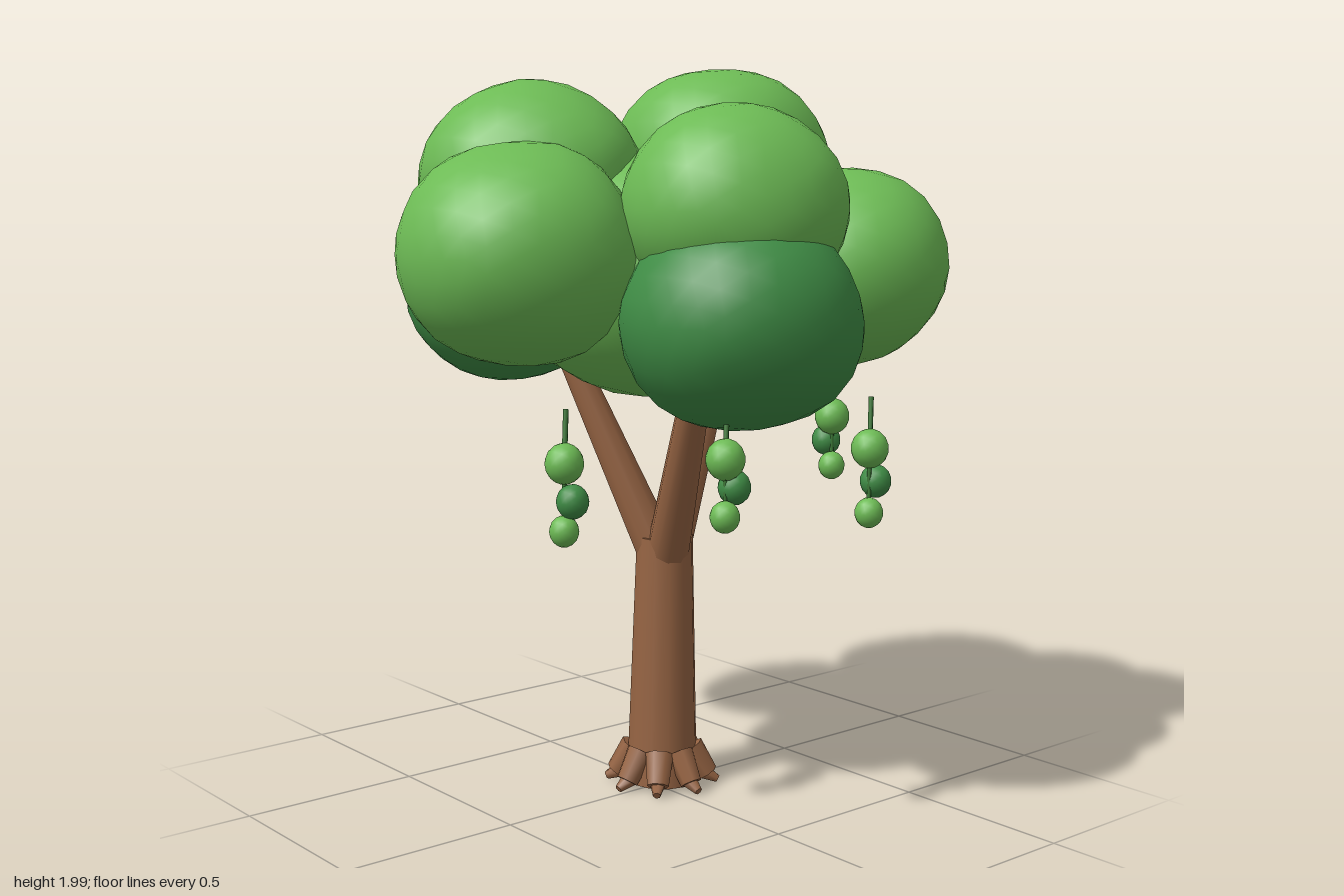
import * as THREE from 'three';
import { mergeVertices } from 'three/addons/utils/BufferGeometryUtils.js';

const mat = (color) => new THREE.MeshStandardMaterial({ color });
const V = (x, y, z) => new THREE.Vector3(x, y, z);

export function createModel() {
  const tree = new THREE.Group();
  const bark = mat(0x966443);
  const lightLeaf = mat(0x6dbb55);
  const darkLeaf = mat(0x3f8c45);
  const stemGreen = mat(0x3c7a36);

  const add = (parent, name, geometry, material) => {
    const mesh = new THREE.Mesh(geometry, material);
    mesh.name = name;
    parent.add(mesh);
    return mesh;
  };

  // Tapered cylinder from point a to point b
  const limb = (parent, name, a, b, ra, rb, sides, material) => {
    const mesh = add(parent, name, new THREE.CylinderGeometry(rb, ra, a.distanceTo(b), sides), material);
    mesh.position.copy(a).lerp(b, 0.5);
    mesh.quaternion.setFromUnitVectors(V(0, 1, 0), b.clone().sub(a).normalize());
    return mesh;
  };

  // Gently lumpy, smooth ellipsoid
  const blob = (parent, name, [x, y, z], [rx, ry, rz], detail, lump, material) => {
    let g = new THREE.IcosahedronGeometry(1, detail);
    g.deleteAttribute('normal');
    g.deleteAttribute('uv');
    g = mergeVertices(g, 1e-4);
    const p = g.attributes.position;
    const v = V(0, 0, 0);
    for (let i = 0; i < p.count; i++) {
      v.fromBufferAttribute(p, i);
      const k = 1 + lump * Math.sin(3 * v.x + 7 * x) * Math.cos(3 * v.y + 5 * z) * Math.sin(3 * v.z + 4 * y + 1);
      p.setXYZ(i, v.x * k * rx, v.y * k * ry, v.z * k * rz);
    }
    g.computeVertexNormals();
    add(parent, name, g, material).position.set(x, y, z);
  };

  // Trunk
  const cx = 0.035, cz = -0.015;
  limb(tree, 'trunk', V(cx, 0.01, cz), V(cx + 0.01, 0.71, cz), 0.1, 0.079, 12, bark);

  // Root stubs around the base, each with a small toe
  const roots = new THREE.Group();
  roots.name = 'roots';
  tree.add(roots);
  for (let i = 0; i < 8; i++) {
    const a = (i * Math.PI) / 4;
    const at = (r, y) => V(cx + Math.cos(a) * r, y, cz + Math.sin(a) * r);
    limb(roots, 'root', at(0.078, 0.105), at(0.128, 0.03), 0.04, 0.031, 7, bark);
    limb(roots, 'rootToe', at(0.115, 0.035), at(0.158, 0.013), 0.024, 0.011, 6, bark);
  }

  // Three forking branches
  const branches = new THREE.Group();
  branches.name = 'branches';
  tree.add(branches);
  for (const end of [V(0.345, 1.23, -0.11), V(-0.13, 1.23, -0.23), V(-0.08, 1.23, 0.28)]) {
    limb(branches, 'branch', V(cx + 0.01, 0.62, cz), end, 0.062, 0.037, 10, bark);
  }

  // Foliage: [centre, radii, material]
  const foliage = new THREE.Group();
  foliage.name = 'foliage';
  tree.add(foliage);
  const clumps = [
    [[0, 1.44, 0], [0.42, 0.33, 0.42], lightLeaf],
    [[0.25, 1.73, -0.025], [0.305, 0.27, 0.3], lightLeaf],
    [[0.29, 1.57, -0.395], [0.315, 0.275, 0.31], lightLeaf],
    [[-0.28, 1.68, -0.18], [0.3, 0.27, 0.305], lightLeaf],
    [[-0.47, 1.505, 0.02], [0.31, 0.285, 0.315], lightLeaf],
    [[-0.05, 1.62, 0.37], [0.295, 0.265, 0.285], lightLeaf],
    [[0.48, 1.45, 0.23], [0.295, 0.272, 0.295], lightLeaf],
    [[-0.077, 1.345, 0.43], [0.313, 0.28, 0.308], darkLeaf],
    [[0.435, 1.285, -0.215], [0.265, 0.23, 0.265], darkLeaf],
    [[-0.165, 1.37, -0.455], [0.285, 0.25, 0.285], darkLeaf],
  ];
  clumps.forEach(([c, r, m], i) => blob(foliage, i ? 'leafClump' : 'leafCore', c, r, 4, 0.04, m));

  // Hanging strings of three pods: [x, z, pod heights, sideways offset of the middle pod]
  const strings = [
    [-0.455, 0.19, [0.99, 0.895, 0.82], 0.01, 0.02],
    [-0.193, 0.5, [1.012, 0.938, 0.87], 0.035, -0.005],
    [0.313, 0.505, [0.99, 0.898, 0.82], 0.035, -0.01],
    [0.57, 0.11, [1.012, 0.938, 0.87], 0.012, -0.035],
  ];
  for (const [x, z, ys, dx, dz] of strings) {
    const string = new THREE.Group();
    string.name = 'hangingPods';
    tree.add(string);
    limb(string, 'stem', V(x, ys[2], z), V(x, ys[0], z), 0.006, 0.006, 6, stemGreen);
    limb(string, 'stem', V(x, ys[0], z), V(x + 0.015, 1.125, z - 0.012), 0.007, 0.007, 6, stemGreen);
    blob(string, 'pod', [x, ys[0], z], [0.05, 0.053, 0.05], 2, 0, lightLeaf);
    blob(string, 'pod', [x + dx, ys[1], z + dz], [0.042, 0.045, 0.042], 2, 0, darkLeaf);
    blob(string, 'pod', [x - 0.008, ys[2], z + 0.008], [0.038, 0.041, 0.038], 2, 0, lightLeaf);
  }
  return tree;
}
